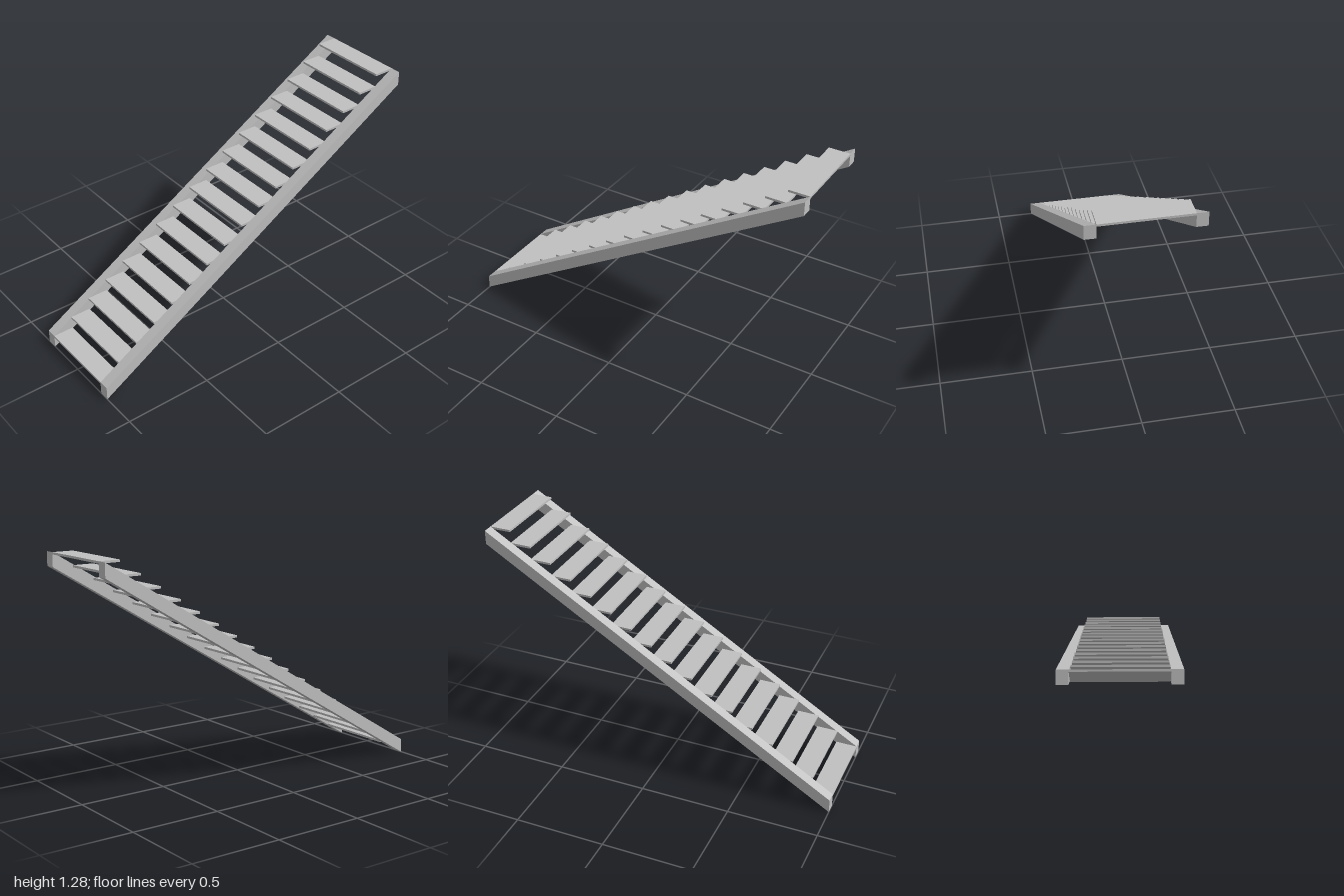
import * as THREE from 'three';

const TREADS = 17;
const RUN = 2 / TREADS;      // horizontal depth of one tread
const BOTTOM_TOP = 0.077;    // top of the stringer at the low end
const TOTAL = 1.285;         // overall height
const INNER = 0.234, OUTER = 0.293;
const THICK = 0.012;

export function createModel() {
  const group = new THREE.Group();
  const grey = new THREE.MeshStandardMaterial({ color: 0xc0c0c0 });
  grey.name = 'light grey';

  // Sloping side stringers with vertical cut ends
  const profile = new THREE.Shape([
    new THREE.Vector2(-1, 0),
    new THREE.Vector2(1, TOTAL - BOTTOM_TOP),
    new THREE.Vector2(1, TOTAL),
    new THREE.Vector2(-1, BOTTOM_TOP),
  ]);
  const stringerGeometry = new THREE.ExtrudeGeometry(profile, { depth: OUTER - INNER, bevelEnabled: false });
  for (const [name, z] of [['frontStringer', INNER], ['backStringer', -OUTER]]) {
    const stringer = new THREE.Mesh(stringerGeometry, grey);
    stringer.name = name;
    stringer.position.z = z;
    group.add(stringer);
  }

  // Flat open treads between the stringers
  const treadGeometry = new THREE.BoxGeometry(RUN, THICK, INNER * 2);
  const rise = (TOTAL - BOTTOM_TOP) / (TREADS - 1);
  for (let i = 0; i < TREADS; i++) {
    const tread = new THREE.Mesh(treadGeometry, grey);
    tread.name = `tread${i + 1}`;
    tread.position.set(-1 + RUN * (i + 0.5), BOTTOM_TOP + rise * i - THICK / 2, 0);
    group.add(tread);
  }
  return group;
}
